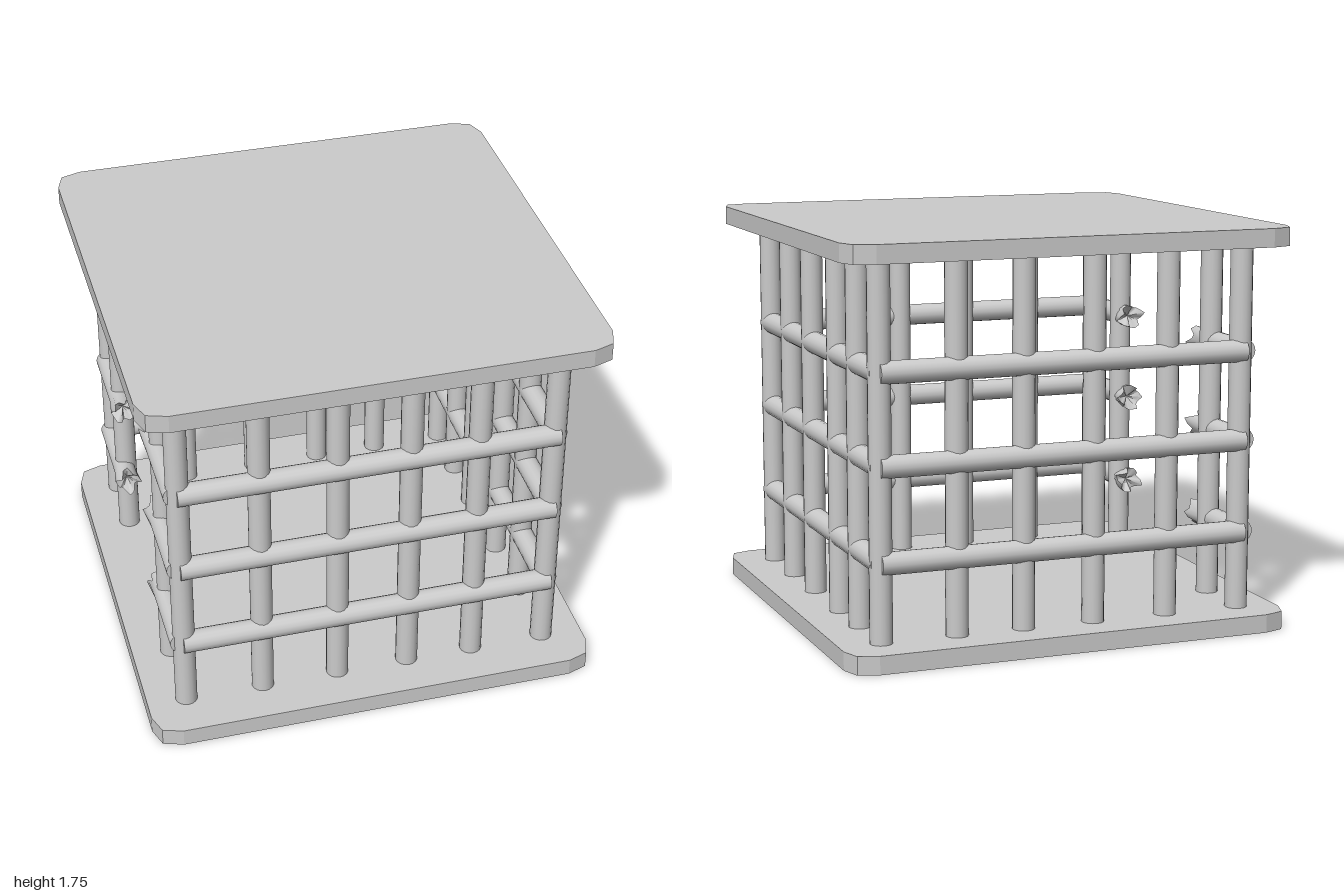
import * as THREE from 'three';

const material = new THREE.MeshStandardMaterial({ color: 0xcccccc, side: THREE.DoubleSide });
const R = 0.049;
const SIDES = 16;

function addMesh(parent, name, geometry) {
  const mesh = new THREE.Mesh(geometry, material);
  mesh.name = name;
  parent.add(mesh);
  return mesh;
}

// Square slab with clipped, two-facet corners
function plateGeometry() {
  const corner = [[1, 0.865], [0.97, 0.953], [0.882, 0.982]];
  const points = [];
  for (const [sx, sy] of [[1, 1], [-1, 1], [-1, -1], [1, -1]]) {
    const run = sx * sy > 0 ? corner : [...corner].reverse();
    for (const [x, y] of run) points.push(new THREE.Vector2(x * sx, y * sy));
  }
  const geometry = new THREE.ExtrudeGeometry(new THREE.Shape(points), { depth: 0.08, bevelEnabled: false });
  return geometry.rotateX(-Math.PI / 2);
}

// Bar along +z, starting at the origin, with a splintered far end
function brokenBarGeometry(length, seed) {
  const geometry = new THREE.CylinderGeometry(R, R, length, SIDES, 4);
  const p = geometry.attributes.position;
  for (let i = 0; i < p.count; i++) {
    if (p.getY(i) < length / 2 - 1e-4) continue;
    const x = p.getX(i), z = p.getZ(i);
    if (Math.hypot(x, z) < 1e-4) {
      p.setY(i, length / 2 - 0.07);
      continue;
    }
    const a = Math.atan2(z, x);
    const jag = Math.sin(5 * a + seed) * 0.025 + Math.cos(3 * a + seed * 2) * 0.015;
    const flare = 1.1 + 0.15 * Math.sin(4 * a + seed);
    p.setXYZ(i, x * flare, length / 2 - 0.025 + jag, z * flare);
  }
  geometry.translate(0, length / 2, 0).rotateX(Math.PI / 2);
  geometry.computeVertexNormals();
  return geometry;
}

export function createModel() {
  const model = new THREE.Group();
  model.name = 'cage';

  // Floor and roof
  addMesh(model, 'floorPlate', plateGeometry());
  addMesh(model, 'roofPlate', plateGeometry()).position.y = 1.675;

  // Upright posts; two are missing on the broken side
  const posts = new THREE.Group();
  posts.name = 'posts';
  model.add(posts);
  const postGeometry = new THREE.CylinderGeometry(R, R, 1.66, SIDES);
  const addPost = (name, x, z) => addMesh(posts, name, postGeometry).position.set(x, 0.875, z);
  for (const x of [-0.825, -0.48, -0.14, 0.18, 0.48, 0.815]) {
    addPost('frontPost', x, 0.775);
    addPost('backPost', x, -0.797);
  }
  for (const z of [0.45, 0.125, -0.245, -0.515]) addPost('leftPost', 0.815, z);
  for (const z of [0.45, -0.515]) addPost('rightPost', -0.825, z);

  // Three rows of horizontal bars
  const bars = new THREE.Group();
  bars.name = 'bars';
  model.add(bars);
  const crossBar = new THREE.CylinderGeometry(R, R, 1.66, SIDES).rotateZ(Math.PI / 2);
  const sideBar = new THREE.CylinderGeometry(R, R, 1.61, SIDES).rotateX(Math.PI / 2);
  [0.42, 0.825, 1.215].forEach((y, i) => {
    addMesh(bars, 'frontBar', crossBar).position.set(-0.005, y, 0.796);
    addMesh(bars, 'backBar', crossBar).position.set(-0.005, y, -0.816);
    addMesh(bars, 'leftBar', sideBar).position.set(0.815, y, -0.01);

    // Snapped bars on the broken side, one stub from each corner
    const frontStub = addMesh(bars, 'brokenFrontStub', brokenBarGeometry(0.46, i * 1.7));
    frontStub.rotation.y = Math.PI;
    frontStub.position.set(-0.84, y - 0.004, 0.795);
    const backStub = addMesh(bars, 'brokenBackStub', brokenBarGeometry(0.46, i * 2.3 + 1));
    backStub.position.set(-0.84, y - 0.002, -0.815);
  });

  return model;
}
